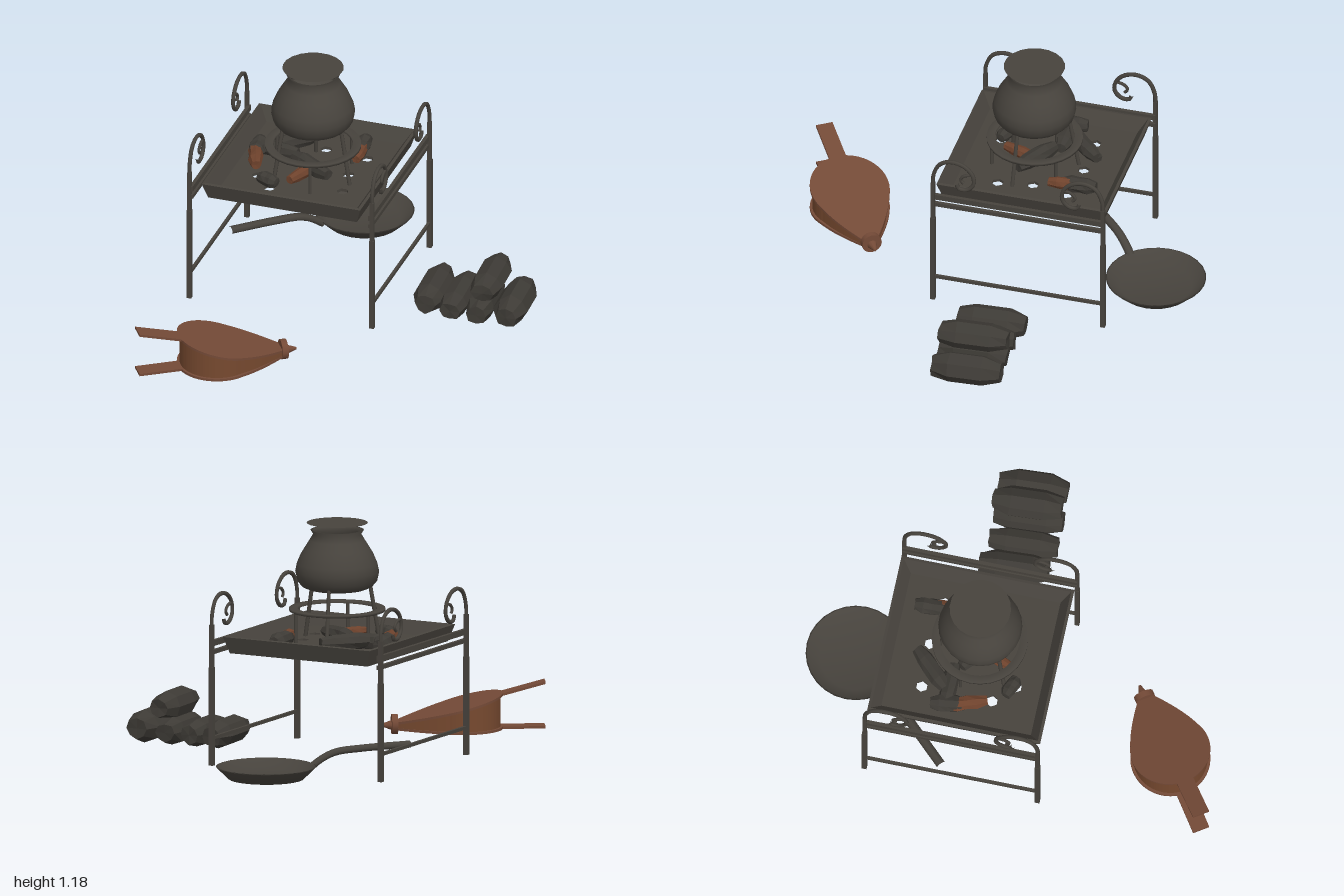
import * as THREE from 'three';

const material = (name, color) => {
  const m = new THREE.MeshStandardMaterial({ color });
  m.name = name;
  return m;
};

export function createModel() {
  const model = new THREE.Group();
  model.name = 'forgeHearthSet';
  const iron = material('dark iron', 0x47433d);
  const coal = material('charcoal log', 0x3d3a35);
  const leather = material('brown leather', 0x76492f);
  const wood = material('brown wood', 0x744a37);
  const ember = material('ember bark', 0x6e422c);
  const thin = material('lid iron', 0x47433d);
  thin.side = THREE.DoubleSide;

  const add = (parent, name, geo, mat, x = 0, y = 0, z = 0) => {
    const m = new THREE.Mesh(geo, mat);
    m.name = name;
    m.position.set(x, y, z);
    parent.add(m);
    return m;
  };
  const group = (name, x = 0, y = 0, z = 0, turn = 0) => {
    const g = new THREE.Group();
    g.name = name;
    g.position.set(x, y, z);
    g.rotation.y = turn;
    model.add(g);
    return g;
  };
  const box = (w, h, d) => new THREE.BoxGeometry(w, h, d);
  const lathe = (pts, n = 24) => new THREE.LatheGeometry(pts.map(p => new THREE.Vector2(...p)), n);
  const tube = (pts, r, n, sides = 6) =>
    new THREE.TubeGeometry(new THREE.CatmullRomCurve3(pts.map(p => new THREE.Vector3(...p))), n, r, sides);
  const faceted = geo => {
    const g = geo.index ? geo.toNonIndexed() : geo;
    g.computeVertexNormals();
    return g;
  };
  // Straight round bar between two points
  const bar = (parent, name, a, b, r) => {
    const A = new THREE.Vector3(...a), B = new THREE.Vector3(...b), d = B.clone().sub(A);
    const m = add(parent, name, new THREE.CylinderGeometry(r, r, d.length(), 8), iron);
    m.position.copy(A).add(B).multiplyScalar(0.5);
    m.quaternion.setFromUnitVectors(new THREE.Vector3(0, 1, 0), d.normalize());
  };

  // Hearth, turned about the vertical
  const hearth = group('hearth', -0.055, 0, -0.17, -0.436);

  // Pierced tray floor
  const W = 0.408, D = 0.43;
  const floor = new THREE.Shape([[-1, -1], [1, -1], [1, 1], [-1, 1]]
    .map(([a, b]) => new THREE.Vector2(a * (W - 0.03), b * (D - 0.03))));
  for (const [u, v] of [[-0.21, -0.2], [0.015, -0.205], [0.235, -0.18], [-0.215, 0.15],
    [-0.12, 0.25], [0.228, 0.17], [0, 0], [0.2, 0]]) {
    const h = new THREE.Path();
    for (let i = 0; i < 6; i++) {
      const a = -i * Math.PI / 3, p = [u + 0.03 * Math.cos(a), -v + 0.03 * Math.sin(a)];
      i ? h.lineTo(...p) : h.moveTo(...p);
    }
    h.closePath();
    floor.holes.push(h);
  }
  const floorGeo = new THREE.ExtrudeGeometry(floor, { depth: 0.015, bevelEnabled: false });
  floorGeo.rotateX(-Math.PI / 2);
  add(hearth, 'trayFloor', floorGeo, iron, 0, 0.588, 0);

  // Tray wall from rectangular rings: [inset, height]
  const rings = [[0.025, 0.583], [0, 0.665], [0.014, 0.668], [0.058, 0.603]];
  const pos = [], idx = [];
  for (const [s, y] of rings)
    for (const [a, b] of [[-1, 1], [1, 1], [1, -1], [-1, -1]]) pos.push(a * (W - s), y, b * (D - s));
  rings.forEach((_, r) => {
    const n = (r + 1) % rings.length;
    for (let i = 0; i < 4; i++) {
      const j = (i + 1) % 4;
      idx.push(r * 4 + i, r * 4 + j, n * 4 + j, r * 4 + i, n * 4 + j, n * 4 + i);
    }
  });
  const wall = new THREE.BufferGeometry();
  wall.setAttribute('position', new THREE.Float32BufferAttribute(pos, 3));
  wall.setIndex(idx);
  add(hearth, 'trayWall', faceted(wall), iron);

  // Two side frames with scrolled posts
  for (const s of [-1, 1]) {
    const u = s * 0.47;
    add(hearth, 'upperRail', box(0.018, 0.028, 0.87), iron, u - s * 0.01, 0.632, 0);
    add(hearth, 'middleRail', box(0.018, 0.02, 0.87), iron, u - s * 0.01, 0.588, 0);
    add(hearth, 'lowerRail', box(0.014, 0.016, 0.86), iron, u, 0.16, 0);
    for (const e of [-1, 1]) {
      add(hearth, 'leg', box(0.024, 0.485, 0.024), iron, u, 0.2675, e * 0.43);
      add(hearth, 'post', box(0.019, 0.21, 0.019), iron, u, 0.615, e * 0.43);
      add(hearth, 'scroll', tube([[0.43, 0.7], [0.426, 0.77], [0.395, 0.835], [0.34, 0.86], [0.275, 0.847],
        [0.23, 0.8], [0.225, 0.745], [0.26, 0.708], [0.3, 0.71], [0.31, 0.735]]
        .map(([v, y]) => [u, y, e * v]), 0.0105, 36), iron);
      add(hearth, 'scrollLeaf', tube([[0.235, 0.8], [0.27, 0.79], [0.29, 0.765], [0.275, 0.745]]
        .map(([v, y]) => [u, y, e * v]), 0.008, 10), iron);
    }
  }

  // Trivet: flat ring on sloping legs
  const trivet = group('trivet', -0.043, 0, -0.122);
  add(trivet, 'trivetRing', lathe([[0.195, 0.757], [0.235, 0.757], [0.235, 0.77], [0.195, 0.77], [0.195, 0.757]], 28), iron);
  for (let i = 0; i < 3; i++) {
    const a = (160 + i * 120) * Math.PI / 180, c = Math.cos(a), s = Math.sin(a);
    bar(trivet, 'trivetLeg', [c * 0.165, 0.885, s * 0.165], [c * 0.215, 0.6, s * 0.215], 0.01);
    const b = a + Math.PI / 3;
    bar(trivet, 'trivetStub', [Math.cos(b) * 0.21, 0.6, Math.sin(b) * 0.21],
      [Math.cos(b) * 0.21, 0.76, Math.sin(b) * 0.21], 0.008);
  }

  // Round-bellied pot with a thin lid held over the mouth
  const pot = group('pot', -0.043, 0, -0.12);
  add(pot, 'potBody', lathe([[0, 0.862], [0.14, 0.864], [0.172, 0.877], [0.195, 0.905], [0.205, 0.95],
    [0.197, 0.99], [0.178, 1.035], [0.16, 1.065], [0.135, 1.105], [0.117, 1.135], [0.13, 1.155],
    [0.118, 1.155], [0.105, 1.135], [0.12, 1.1], [0.15, 1.05], [0, 1.0]]), iron);
  const lid = add(pot, 'potLid', new THREE.CircleGeometry(0.15, 20), thin, 0, 1.19, 0);
  lid.rotation.x = -Math.PI / 2;

  // Rough log with chipped facets, lying along z before turning
  const log = (parent, name, mat, x, y, z, r, len, turn, flat = 1) => {
    const g = new THREE.CylinderGeometry(r, r, len, 8, 4);
    const p = g.attributes.position;
    for (let i = 0; i < p.count; i++) {
      const X = p.getX(i), Y = p.getY(i), Z = p.getZ(i);
      const k = Math.round(X * 997) * 3.1 + Math.round(Y * 997) * 1.7 + Math.round(Z * 997) * 5.3 + x * 40;
      const end = Math.abs(Y) > len * 0.45 ? 0.68 : 1;
      const f = end * (1 + 0.09 * Math.sin(k));
      p.setXYZ(i, X * f, Y + 0.05 * r * Math.cos(k * 1.3), Z * f * flat);
    }
    g.rotateX(Math.PI / 2);
    const m = add(parent, name, faceted(g), mat, x, y, z);
    m.rotation.y = turn;
  };

  // Fuel burning on the tray
  const fuel = group('burningFuel');
  log(fuel, 'emberLog', ember, -0.31, 0.645, -0.25, 0.035, 0.2, -0.1);
  log(fuel, 'charredLog', coal, -0.29, 0.64, -0.34, 0.042, 0.17, -0.3);
  log(fuel, 'charredLog', coal, -0.1, 0.645, -0.375, 0.042, 0.25, 1.95);
  log(fuel, 'charredLog', coal, -0.2, 0.64, -0.31, 0.04, 0.22, 1.1);
  log(fuel, 'emberLog', ember, 0.2, 0.645, -0.235, 0.03, 0.17, -0.35);
  log(fuel, 'charredLog', coal, 0.215, 0.64, -0.3, 0.04, 0.17, -0.4);
  log(fuel, 'charredLog', coal, -0.275, 0.635, -0.02, 0.035, 0.11, 0.8);
  log(fuel, 'charredLog', coal, -0.05, 0.64, -0.13, 0.04, 0.25, 0.6);
  log(fuel, 'emberLog', ember, -0.1, 0.635, -0.07, 0.03, 0.2, -0.8);

  // Stack of spare logs
  const stack = group('logStack');
  for (const [x, y, z, r, flat] of [[0.52, 0.095, 0.18, 0.075, 0.95], [0.632, 0.09, 0.255, 0.07, 0.95],
    [0.755, 0.09, 0.31, 0.075, 0.9], [0.895, 0.1, 0.365, 0.08, 0.95], [0.785, 0.212, 0.31, 0.078, 0.85]])
    log(stack, 'spareLog', coal, x, y, z, r, 0.34, -0.38, flat);

  // Frying pan with a raised handle
  const pan = group('fryingPan', 0.265, 0, -0.67);
  add(pan, 'panBowl', lathe([[0, 0.02], [0.185, 0.02], [0.245, 0.078], [0.238, 0.08], [0.175, 0.032], [0, 0.032]], 28), iron);
  const handle = tube([[0, 0.065, 0], [0.05, 0.1, 0], [0.12, 0.13, 0], [0.25, 0.142, 0], [0.5, 0.15, 0]], 0.018, 16, 8);
  const hp = handle.attributes.position;
  for (let i = 0; i < hp.count; i++) hp.setZ(i, hp.getZ(i) * 1.3);
  add(pan, 'panHandle', handle, iron, -0.215, 0, 0.09).rotation.y = Math.PI + 0.36;

  // Bellows: two teardrop boards with handles, leather between
  const bellows = group('bellows', -0.6, 0, 0.7, 0.155);
  const teardrop = (r, withHandle) => {
    const s = new THREE.Shape();
    const k = r / 0.195, start = withHandle ? Math.PI + 0.22 : Math.PI;
    s.absarc(0, 0, r, start, Math.PI * 1.5 + 0.45, false);
    s.quadraticCurveTo(0.19, -0.14 * k, 0.33, -0.035);
    s.lineTo(0.33, 0.035);
    s.quadraticCurveTo(0.19, 0.14 * k, r * Math.sin(0.45), r * Math.cos(0.45));
    s.absarc(0, 0, r, Math.PI / 2 - 0.45, withHandle ? Math.PI - 0.22 : Math.PI, false);
    if (withHandle) {
      s.lineTo(-0.4, 0.042);
      s.lineTo(-0.4, -0.042);
    }
    s.closePath();
    return s;
  };
  const topAt = a => 0.16 - 0.264 * a;
  const slab = (shape, height) => {
    const g = new THREE.ExtrudeGeometry(shape, { depth: 1, bevelEnabled: false, curveSegments: 12 });
    g.rotateX(-Math.PI / 2);
    const p = g.attributes.position;
    for (let i = 0; i < p.count; i++) p.setY(i, height(p.getX(i), p.getY(i)));
    g.computeVertexNormals();
    return g;
  };
  add(bellows, 'bottomBoard', slab(teardrop(0.195, true), (a, t) => 0.034 + t * 0.012), wood);
  add(bellows, 'topBoard', slab(teardrop(0.195, true), (a, t) => topAt(a) - 0.012 + t * 0.012), wood);
  add(bellows, 'leatherBag', slab(teardrop(0.182, false), (a, t) => 0.045 + t * (topAt(a) - 0.057)), leather);

  // Nozzle collar and tip
  const collar = add(bellows, 'nozzleCollar', new THREE.CylinderGeometry(0.05, 0.05, 0.03, 16), wood, 0.335, 0.06, 0);
  collar.rotation.z = -Math.PI / 2;
  const tip = add(bellows, 'nozzleTip', new THREE.CylinderGeometry(0.006, 0.028, 0.06, 10), wood, 0.37, 0.055, 0);
  tip.rotation.z = -Math.PI / 2;

  return model;
}
